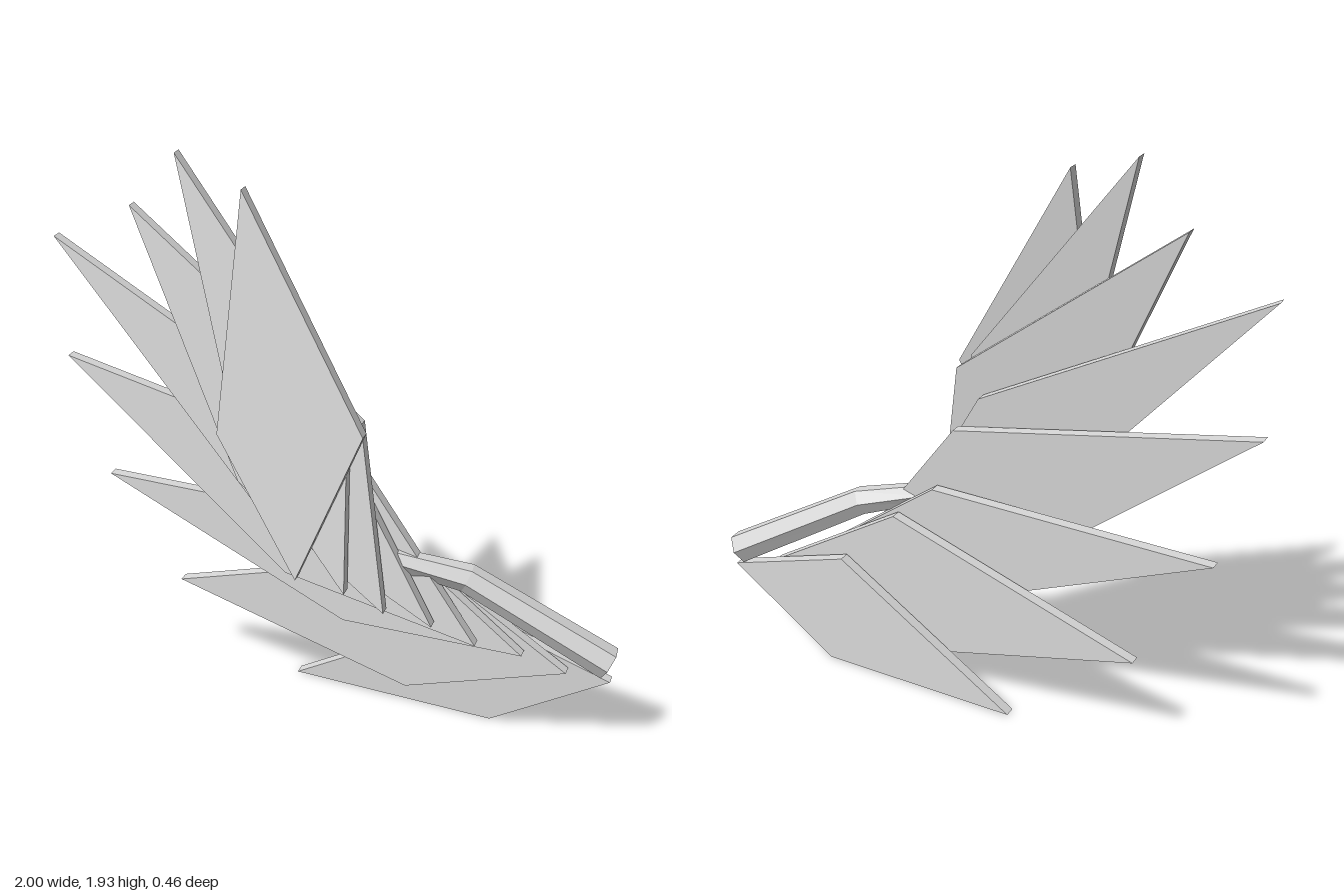
import * as THREE from 'three';

const grey = new THREE.MeshStandardMaterial({ color: 0xd8d8d8, flatShading: true });
grey.name = 'pale grey';

const THICKNESS = 0.042;

// Feathers from lowest to uppermost: root and tip centres
const FEATHERS = [
  { root: [0.985, 0.255, -0.04], tip: [-0.16, 0.005, -0.205] },
  { root: [0.842, 0.283, -0.005], tip: [-0.6, 0.31, -0.205] },
  { root: [0.697, 0.343, 0.03], tip: [-0.85, 0.7, -0.19] },
  { root: [0.547, 0.377, 0.07], tip: [-0.98, 1.14, -0.17] },
  { root: [0.405, 0.44, 0.1], tip: [-1.0, 1.575, -0.15] },
  { root: [0.25, 0.483, 0.135], tip: [-0.69, 1.73, -0.08] },
  { root: [0.125, 0.552, 0.17], tip: [-0.51, 1.93, -0.04] },
  { root: [-0.03, 0.6, 0.21], tip: [-0.26, 1.85, 0.03] },
];

// Flat kite-shaped blade, leaning back towards its tip
function makeFeather({ root, tip }, wide) {
  const r = new THREE.Vector2(root[0], root[1]);
  const axis = new THREE.Vector2(tip[0], tip[1]).sub(r);
  const length = axis.length();
  axis.normalize();
  const across = new THREE.Vector2(axis.y, -axis.x);
  const point = (along, side) =>
    r.clone().addScaledVector(axis, along * length).addScaledVector(across, side);

  const shape = new THREE.Shape([
    point(0, 0),
    point(0.362, wide ? 0.297 : 0.238),
    point(1, 0),
    point(0.393, wide ? -0.202 : -0.159),
  ]);
  const geometry = new THREE.ExtrudeGeometry(shape, { depth: THICKNESS, bevelEnabled: false });
  const slope = (tip[2] - root[2]) / length;
  const pos = geometry.attributes.position;
  for (let i = 0; i < pos.count; i++) {
    const along = (pos.getX(i) - r.x) * axis.x + (pos.getY(i) - r.y) * axis.y;
    pos.setZ(i, pos.getZ(i) - THICKNESS / 2 + root[2] + slope * along);
  }
  geometry.computeVertexNormals();
  return new THREE.Mesh(geometry, grey);
}

// Six-sided arm, bent once and tapering to its inner end
function makeArm() {
  const path = [[0.975, 0.314, -0.042], [0.495, 0.577, -0.002], [0.26, 0.634, 0.043]]
    .map((p) => new THREE.Vector3(...p));
  const radii = [0.058, 0.05, 0.037];
  const sides = 6;
  const vertices = [];
  const indices = [];
  path.forEach((p, i) => {
    const tangent = path[Math.min(i + 1, 2)].clone().sub(path[Math.max(i - 1, 0)]).normalize();
    const up = tangent.clone().cross(new THREE.Vector3(0, 0, 1)).normalize();
    const side = up.clone().cross(tangent);
    for (let k = 0; k < sides; k++) {
      const a = (k / sides) * Math.PI * 2;
      const v = p.clone()
        .addScaledVector(side, Math.cos(a) * radii[i])
        .addScaledVector(up, Math.sin(a) * radii[i]);
      vertices.push(v.x, v.y, v.z);
    }
  });
  // side faces, wound to face outwards
  for (let i = 0; i < 2; i++) {
    for (let k = 0; k < sides; k++) {
      const a = i * sides + k;
      const b = i * sides + ((k + 1) % sides);
      indices.push(a, b, b + sides, a, b + sides, a + sides);
    }
  }
  // end caps
  for (let k = 1; k < sides - 1; k++) {
    indices.push(0, k + 1, k);
    indices.push(2 * sides, 2 * sides + k, 2 * sides + k + 1);
  }
  const indexed = new THREE.BufferGeometry();
  indexed.setAttribute('position', new THREE.Float32BufferAttribute(vertices, 3));
  indexed.setIndex(indices);
  const geometry = indexed.toNonIndexed();
  geometry.computeVertexNormals();
  return new THREE.Mesh(geometry, grey);
}

export function createModel() {
  const model = new THREE.Group();
  model.name = 'wing';

  const feathers = new THREE.Group();
  feathers.name = 'feathers';
  FEATHERS.forEach((data, i) => {
    const feather = makeFeather(data, i % 2 === 1);
    feather.name = `feather${i + 1}`;
    feathers.add(feather);
  });

  const arm = makeArm();
  arm.name = 'wingArm';
  model.add(feathers, arm);
  return model;
}
